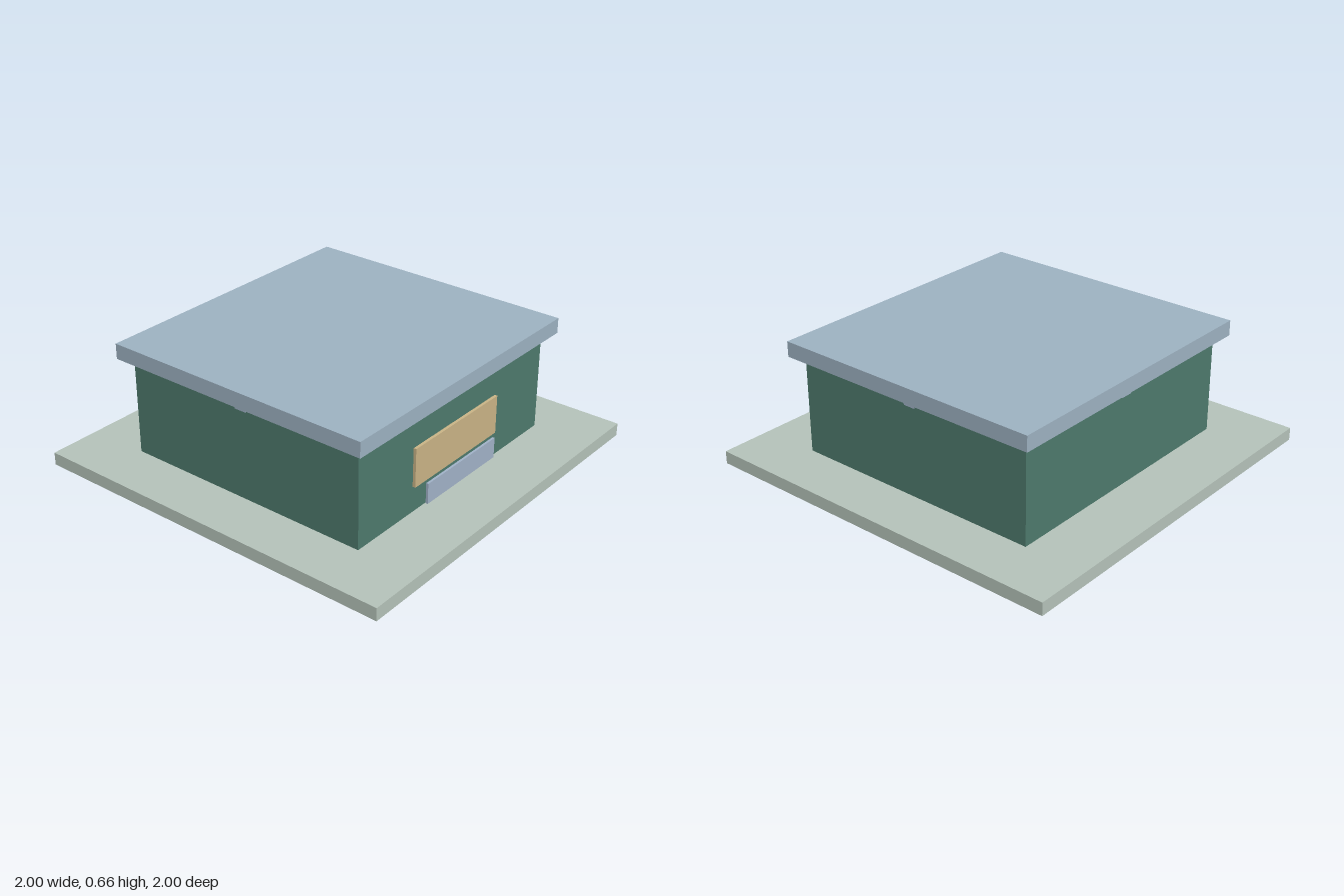
import * as THREE from 'three';

const mat = (name, color) => {
  const m = new THREE.MeshStandardMaterial({ color });
  m.name = name;
  return m;
};

export function createModel() {
  const group = new THREE.Group();
  const stone = mat('pale stone', 0xb7c5bc);
  const green = mat('wall green', 0x4f7b6e);
  const slate = mat('roof blue grey', 0x9fb4c4);
  const tan = mat('sign tan', 0xccb688);
  const pale = mat('panel blue', 0xa3b4ca);

  // Box given by its lower and upper corners
  const box = (name, material, [x0, y0, z0], [x1, y1, z1], parent = group) => {
    const mesh = new THREE.Mesh(new THREE.BoxGeometry(x1 - x0, y1 - y0, z1 - z0), material);
    mesh.position.set((x0 + x1) / 2, (y0 + y1) / 2, (z0 + z1) / 2);
    mesh.name = name;
    parent.add(mesh);
    return mesh;
  };

  // Main masses
  box('basePlate', stone, [-1, 0, -1], [1, 0.067, 1]);
  box('walls', green, [-0.72, 0.067, -0.68], [0.72, 0.58, 0.68]);
  box('roofSlab', slate, [-0.78, 0.58, -0.735], [0.78, 0.66, 0.735]);

  // Front sign and the panel standing off below it
  box('frontSign', tan, [-0.325, 0.203, 0.68], [0.325, 0.405, 0.695]);
  box('frontPanel', pale, [-0.27, 0.103, 0.716], [0.27, 0.21, 0.728]);

  // Small flush plate under the eaves on each side
  for (let i = 0; i < 4; i++) {
    const side = new THREE.Group();
    side.name = 'eavesPlate' + (i + 1);
    side.rotation.y = (i * Math.PI) / 2;
    const d = i % 2 ? 0.72 : 0.68;
    box('plate', pale, [-0.033, 0.53, d - 0.002], [0.033, 0.579, d + 0.002], side);
    group.add(side);
  }

  return group;
}
